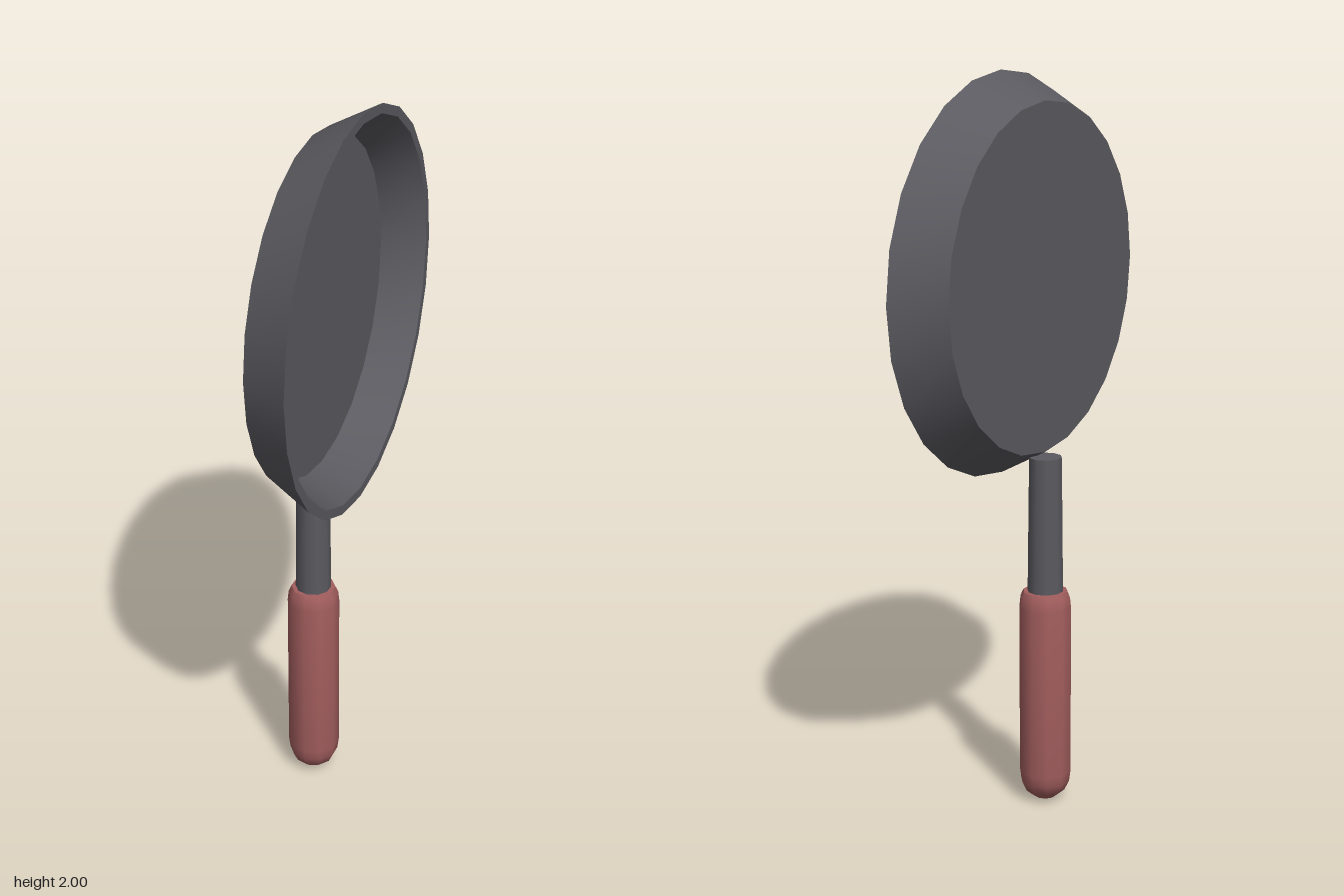
import * as THREE from 'three';
import { toCreasedNormals } from 'three/addons/utils/BufferGeometryUtils.js';

const iron = new THREE.MeshStandardMaterial({ name: 'dark iron', color: 0x5b5a60 });
const grip = new THREE.MeshStandardMaterial({ name: 'red grip', color: 0xa35e5e });

// Turned part: profile of [radius, height] pairs, smooth round, sharp at edges
function turned(name, profile, sides, crease, material) {
  const points = profile.map(([r, h]) => new THREE.Vector2(r, h));
  const geometry = toCreasedNormals(new THREE.LatheGeometry(points, sides), crease);
  const mesh = new THREE.Mesh(geometry, material);
  mesh.name = name;
  return mesh;
}

export function createModel() {
  const group = new THREE.Group();
  group.name = 'fryingPan';

  // Shallow flared pan, turned on its side so that it opens towards +x
  const pan = turned('pan', [
    [0, -0.035], [0.467, -0.035], [0.54, 0.1],
    [0.514, 0.1], [0.453, -0.01], [0, -0.01],
  ], 24, 0.7, iron);
  pan.rotation.z = -Math.PI / 2;
  pan.position.y = 1.46;

  // Tapered metal neck
  const neck = new THREE.Mesh(new THREE.CylinderGeometry(0.045, 0.05, 0.43, 10), iron);
  neck.name = 'neck';
  neck.position.set(-0.036, 0.765, 0);

  // Grip with a domed end and a softened shoulder
  const handle = turned('grip', [
    [0, 0], [0.03, 0.008], [0.055, 0.028], [0.068, 0.055], [0.072, 0.085],
    [0.072, 0.56], [0.069, 0.587], [0.061, 0.605], [0, 0.605],
  ], 10, 0.95, grip);
  handle.position.x = -0.036;

  group.add(pan, neck, handle);
  return group;
}
